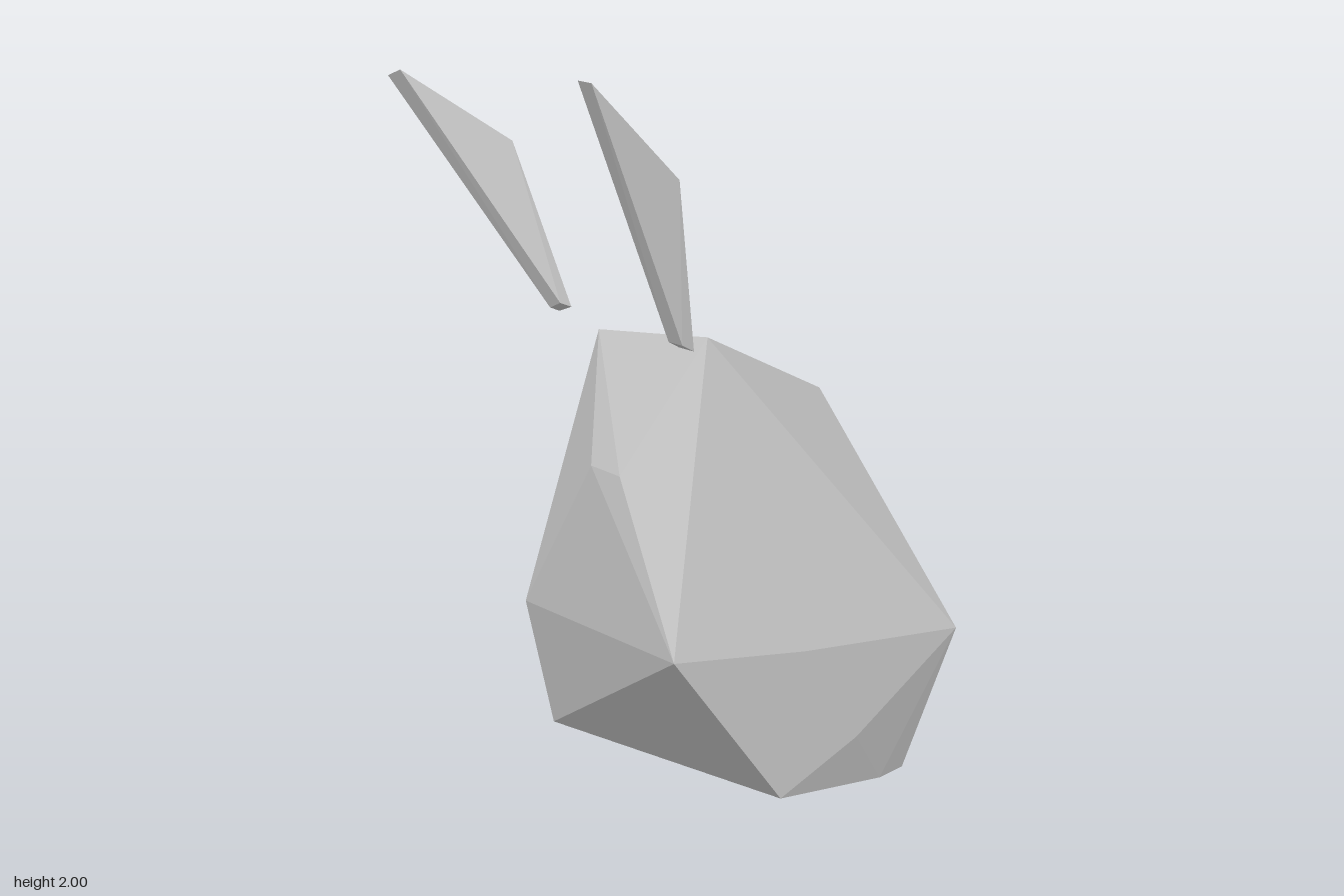
import * as THREE from 'three';
import { ConvexGeometry } from 'three/addons/geometries/ConvexGeometry.js';

const grey = new THREE.MeshStandardMaterial({ color: 0xcccccc });
grey.name = 'plain grey';

// Faceted solid wrapped around a few corner points
function facetedSolid(name, corners) {
  const mesh = new THREE.Mesh(
    new ConvexGeometry(corners.map(c => new THREE.Vector3(...c))), grey);
  mesh.name = name;
  return mesh;
}

export function createModel() {
  const group = new THREE.Group();
  group.name = 'facetedRabbit';

  group.add(facetedSolid('body', [
    // crown and nape
    [0.25, 1.33, 0.135], [-0.17, 1.28, 0.16], [-0.08, 1.01, -0.58],
    // face
    [-0.03, 0.955, 0.30], [0.11, 0.96, 0.315],
    // widest ring: front, then back
    [0.455, 0.57, 0.42], [-0.40, 0.46, 0.255],
    [0.45, 0.41, -0.62], [-0.385, 0.46, -0.595],
    // bulges on the left flank
    [0.456, 0.49, -0.03], [0.455, 0.19, -0.23],
    // underside
    [-0.35, 0.09, 0.20], [0.455, 0.09, 0.05],
    [0.40, 0.005, -0.38], [0.38, 0, -0.49], [-0.28, 0.03, -0.56],
  ]));

  // Each ear: base back, base front, wide middle, tip
  group.add(facetedSolid('leftEar', [
    [0.16, 1.29, 0.155], [0.22, 1.29, 0.155],
    [0.16, 1.31, 0.19], [0.215, 1.31, 0.19],
    [0.10, 1.75, 0.235], [0.27, 1.75, 0.245],
    [0.142, 2.0, 0.46], [0.205, 2.0, 0.467],
  ]));
  group.add(facetedSolid('rightEar', [
    [-0.205, 1.34, 0.265], [-0.153, 1.36, 0.265],
    [-0.20, 1.355, 0.30], [-0.155, 1.375, 0.30],
    [-0.42, 1.73, 0.37], [-0.258, 1.80, 0.37],
    [-0.46, 1.97, 0.615], [-0.402, 1.99, 0.615],
  ]));

  return group;
}
